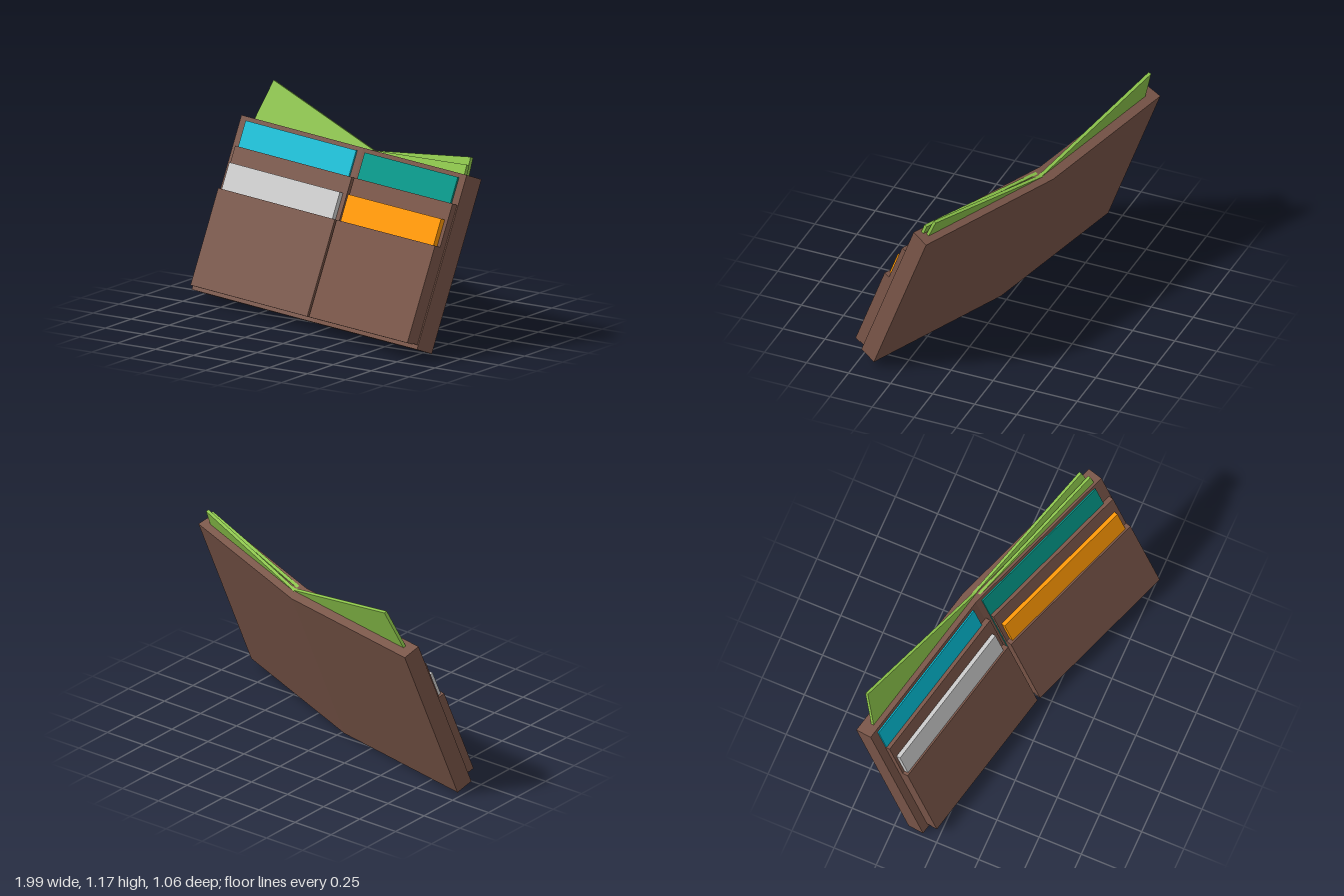
import * as THREE from 'three';

const BROWN = 0x795548, GREEN = 0x8bc34a;

// Box given by its extents: u across, v along the spine, n out of the inner face
function slab(name, color, [u0, u1], [v0, v1], [n0, n1]) {
  const geo = new THREE.BoxGeometry(u1 - u0, v1 - v0, n1 - n0);
  const mesh = new THREE.Mesh(geo, new THREE.MeshStandardMaterial({ color, flatShading: true }));
  mesh.position.set((u0 + u1) / 2, (v0 + v1) / 2, (n0 + n1) / 2);
  mesh.name = name;
  return mesh;
}

// Banknote hung from one outer top corner and turned in the plane of the cover
function banknote(name, side, u, v, n, width, angle) {
  const pivot = new THREE.Group();
  pivot.name = name;
  pivot.position.set(u, v, n);
  pivot.rotation.z = angle;
  pivot.add(slab(name + 'Sheet', GREEN, side > 0 ? [-width, 0] : [0, width], [-0.4, 0], [0, 0.018]));
  return pivot;
}

// One half of the wallet, hinged on the back of the spine
function half(name, across, spine, cover, pocket, cards) {
  const g = new THREE.Group();
  g.name = name;
  const up = spine.clone().normalize();
  const out = new THREE.Vector3().crossVectors(across, up).normalize();
  const right = new THREE.Vector3().crossVectors(up, out);
  g.quaternion.setFromRotationMatrix(new THREE.Matrix4().makeBasis(right, up, out));
  g.position.set(-0.02, 0.003, 0.04);
  g.add(slab('cover', BROWN, cover, [0, 0.988], [0, 0.104]));
  g.add(slab('backPocket', BROWN, pocket, [0.025, 0.817], [0.104, 0.136]));
  g.add(slab('frontPocket', BROWN, pocket, [0.02, 0.57], [0.136, 0.172]));
  g.add(slab('upperCard', cards[0].color, cards[0].u, [0.45, 0.965], [0.1, 0.113]));
  g.add(slab('lowerCard', cards[1].color, cards[1].u, [0.2, 0.721], [0.13, 0.161]));
  return g;
}

export function createModel() {
  const wallet = new THREE.Group();
  wallet.name = 'wallet';
  const spine = new THREE.Vector3(0.091, 0.931, -0.354);

  // Half on +x
  const left = half('leftHalf', new THREE.Vector3(0.934, 0.045, 0.354), spine, [0, 0.99], [0.045, 0.98], [
    { color: 0x009688, u: [0.043, 0.928] },
    { color: 0xff9800, u: [0.068, 0.951] },
  ]);
  left.add(banknote('tallNote', 1, 0.918, 1.09, 0.042, 0.92, 0.115));
  left.add(banknote('shortNote', 1, 0.942, 1.043, 0.07, 0.92, 0.062));

  // Half on -x
  const right = half('rightHalf', new THREE.Vector3(0.9755, -0.01, 0.2196), spine, [-0.98, 0], [-0.93, 0], [
    { color: 0x00bcd4, u: [-0.928, -0.047] },
    { color: 0xcccccc, u: [-0.913, -0.031] },
  ]);
  right.add(banknote('raisedNote', -1, -0.85, 1.218, 0.052, 0.93, -0.25));

  wallet.add(left, right);
  return wallet;
}
